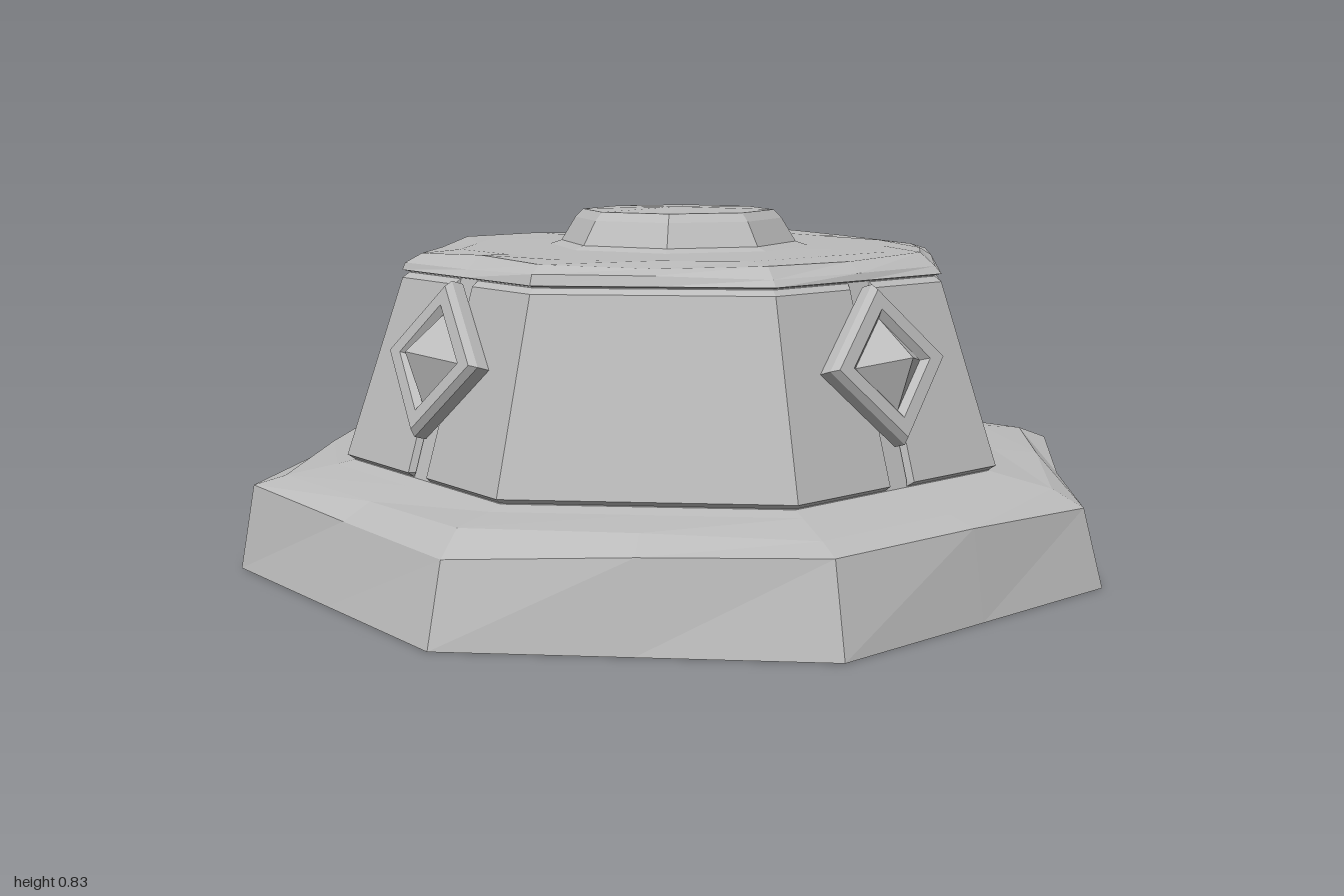
import * as THREE from 'three';

const T = Math.tan(Math.PI / 8);

// Surface through equal-length rows of [x, y, z] points, listed from bottom to top
function skin(rows, closed) {
  const n = rows[0].length, index = [];
  for (let r = 0; r < rows.length - 1; r++) {
    for (let c = 0; c < (closed ? n : n - 1); c++) {
      const a = r * n + c, b = r * n + (c + 1) % n;
      index.push(a, b, b + n, a, b + n, a + n);
    }
  }
  const geo = new THREE.BufferGeometry();
  geo.setAttribute('position', new THREE.Float32BufferAttribute(rows.flat(2), 3));
  geo.setIndex(index);
  geo.computeVertexNormals();
  return geo;
}

// Octagonal shell; each profile entry is [apothem, height, chipped-edge wobble]
function octagonShell(profile) {
  return skin(profile.map(([a, y, w = 0], r) => {
    const row = [];
    for (let i = 0; i < 16; i++) {
      const angle = i * Math.PI / 8;
      const radius = (i % 2 ? a / Math.cos(Math.PI / 8) : a) + w * Math.sin(i * 2.3 + r);
      row.push([radius * Math.sin(angle), y + w * Math.sin(i * 1.7 + r * 2), radius * Math.cos(angle)]);
    }
    return row;
  }), true);
}

// Raised plate wrapping one diagonal wall and half of each neighbour
function panelGeometry() {
  const rows = [[0.742, 0.245, 0.742], [0.757, 0.256, 0.742], [0.628, 0.672, 0.614], [0.613, 0.684, 0.613]];
  return skin(rows.map(([a, y, inner]) => [
    [0.03, y, inner], [0.038, y, a], [a * T, y, a],
    [a, y, a * T], [a, y, 0.038], [inner, y, 0.03],
  ]), false);
}

const lathe = (points, sides) =>
  new THREE.LatheGeometry(points.map(([x, y]) => new THREE.Vector2(x, y)), sides);

export function createModel() {
  const group = new THREE.Group();
  const stone = new THREE.MeshStandardMaterial({ color: 0xbbbbbb });
  stone.name = 'grey stone';
  stone.flatShading = true;
  stone.side = THREE.DoubleSide;

  const add = (name, geometry, parent = group) => {
    const mesh = new THREE.Mesh(geometry, stone);
    mesh.name = name;
    parent.add(mesh);
    return mesh;
  };

  // Hollow plinth with a worn upper edge
  add('base', octagonShell([
    [0.99, 0], [0.948, 0.185, 0.012], [0.885, 0.22, 0.008], [0.78, 0.235], [0.742, 0.243],
  ]));

  // Tapered core behind the panels
  add('body', octagonShell([[0.742, 0.243], [0.612, 0.686]]));

  // Lid with a chipped rim and an opening under the knob
  add('cap', octagonShell([
    [0.612, 0.686], [0.628, 0.69], [0.618, 0.71, 0.005], [0.585, 0.731, 0.007], [0.5, 0.735], [0.27, 0.736],
  ]));

  // Round boss on the lid
  add('knob', lathe([
    [0.32, 0.735], [0.29, 0.745], [0.255, 0.802], [0.235, 0.822], [0, 0.828],
  ], 8));

  // Four panels and four diamond studs around the body
  const panel = panelGeometry();
  const stud = lathe([
    [0, -0.06], [0.178, 0], [0.178, 0.03], [0.163, 0.045],
    [0.12, 0.045], [0.102, 0.03], [0, 0.105],
  ], 4);
  stud.rotateX(Math.PI / 2 - 0.3);
  stud.translate(0, 0.505, 0.68);
  for (let i = 0; i < 4; i++) {
    const side = new THREE.Group();
    side.name = 'side' + (i + 1);
    side.rotation.y = i * Math.PI / 2;
    group.add(side);
    add('panel', panel, side);
    add('diamondStud', stud, side);
  }
  return group;
}
